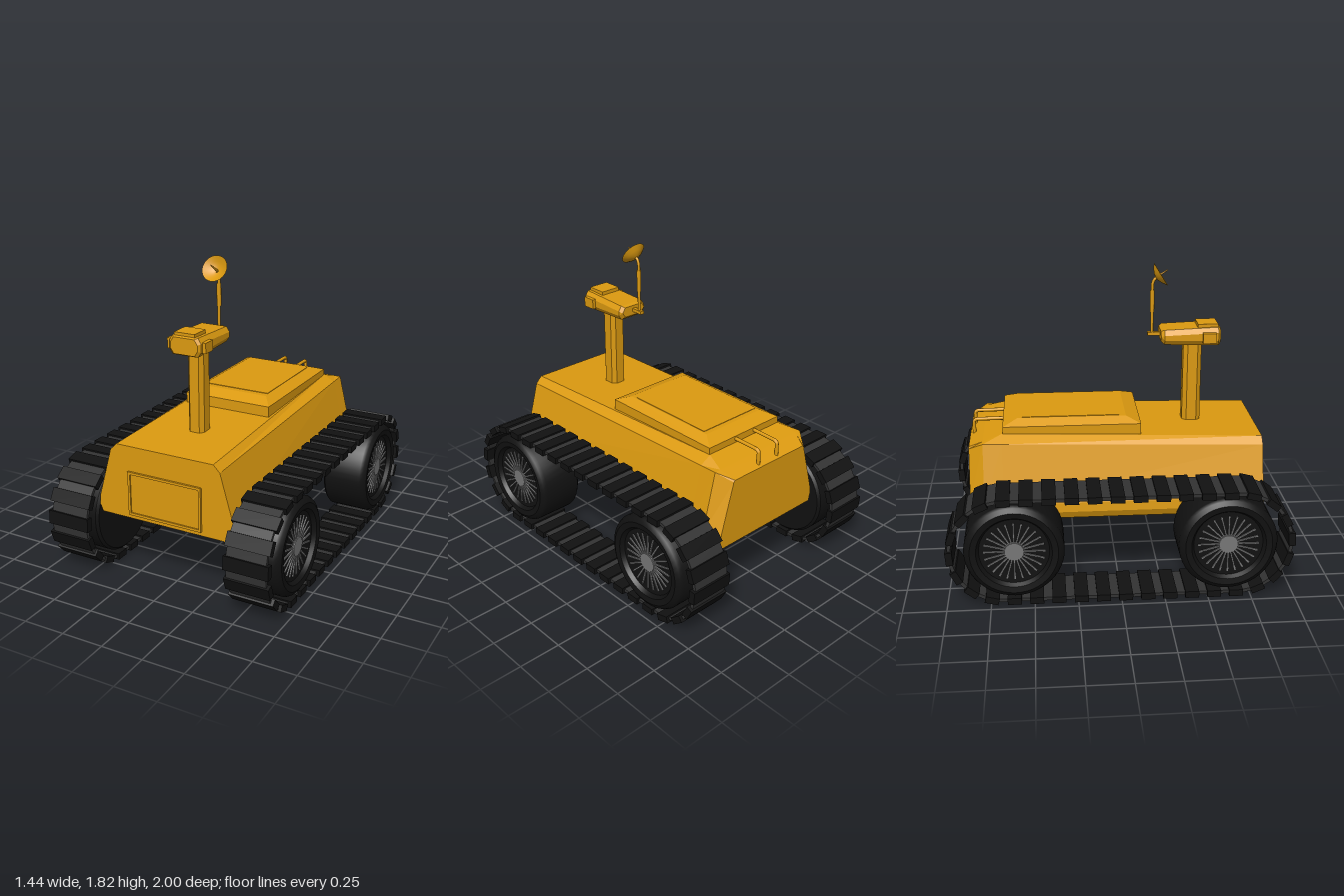
import * as THREE from 'three';
import { mergeGeometries, toCreasedNormals } from 'three/addons/utils/BufferGeometryUtils.js';

const paint = new THREE.MeshStandardMaterial({ color: 0xdc9a10, side: THREE.DoubleSide });
const rubber = new THREE.MeshStandardMaterial({ color: 0x111111 });
const link = new THREE.MeshStandardMaterial({ color: 0x333333 });
const steel = new THREE.MeshStandardMaterial({ color: 0x777777 });

function add(parent, name, geometry, material, x = 0, y = 0, z = 0) {
  const mesh = new THREE.Mesh(geometry, material);
  mesh.name = name;
  mesh.position.set(x, y, z);
  parent.add(mesh);
  return mesh;
}

const box = (w, h, d) => new THREE.BoxGeometry(w, h, d);

// Closed faceted solid through sections { z, pts }, front to back, pts counter-clockwise
function loft(sections) {
  const pos = [];
  const n = sections[0].pts.length;
  const put = (s, j) => pos.push(...s.pts[j % n], s.z);
  for (let i = 0; i < sections.length - 1; i++) {
    const a = sections[i], b = sections[i + 1];
    for (let j = 0; j < n; j++) {
      put(a, j); put(b, j); put(b, j + 1);
      put(a, j); put(b, j + 1); put(a, j + 1);
    }
  }
  const first = sections[0], last = sections[sections.length - 1];
  for (let j = 1; j < n - 1; j++) {
    put(first, 0); put(first, j); put(first, j + 1);
    put(last, 0); put(last, j + 1); put(last, j);
  }
  const g = new THREE.BufferGeometry();
  g.setAttribute('position', new THREE.Float32BufferAttribute(pos, 3));
  g.computeVertexNormals();
  return g;
}

// Half profile (bottom to top, x > 0) mirrored to a full outline
const mirror = (half) => [...half, ...half.map(([x, y]) => [-x, y]).reverse()];

// Rectangular picture-frame border
function frame(w, h, border, depth) {
  const rect = (P, a, b) => {
    const p = new P();
    p.moveTo(-a, -b); p.lineTo(a, -b); p.lineTo(a, b); p.lineTo(-a, b); p.closePath();
    return p;
  };
  const s = rect(THREE.Shape, w / 2, h / 2);
  s.holes.push(rect(THREE.Path, w / 2 - border, h / 2 - border));
  return new THREE.ExtrudeGeometry(s, { depth, bevelEnabled: false });
}

function tube(points, radius) {
  const path = new THREE.CurvePath();
  const v = points.map((p) => new THREE.Vector3(...p));
  for (let i = 0; i < v.length - 1; i++) path.add(new THREE.LineCurve3(v[i], v[i + 1]));
  return new THREE.TubeGeometry(path, 40, radius, 10, false);
}

function buildHull(root) {
  const hull = [
    [0.86, 0.42, 0.44, 0.35, 0.80, 0.31, 0.84],
    [-0.67, 0.42, 0.44, 0.35, 0.847, 0.28, 0.885],
    [-0.78, 0.42, 0.44, 0.35, 0.85, 0.31, 0.852],
    [-0.865, 0.37, 0.38, 0.29, 0.80, 0.28, 0.81],
  ].map(([z, x0, x1, x2, y2, x3, y3]) => ({
    z, pts: mirror([[x0, 0.40], [x1, 0.445], [x1 - 0.005, 0.50], [x2, y2], [x3, y3]]),
  }));
  add(root, 'hull', loft(hull), paint);
  add(root, 'frontPanelFrame', frame(0.47, 0.265, 0.015, 0.015), paint, 0, 0.557, 0.857);
  add(root, 'frontPanel', box(0.44, 0.235, 0.01), paint, 0, 0.557, 0.859);

  // Deck hatch: stacked rectangles, turned upright
  const hatch = [[0.957, 0.22, -0.58, 0.06], [0.925, 0.28, -0.665, 0.145], [0.85, 0.28, -0.665, 0.145]]
    .map(([z, x, back, front]) => ({ z, pts: [[-x, -front], [x, -front], [x, -back], [-x, -back]] }));
  add(root, 'deckHatch', loft(hatch).rotateX(-Math.PI / 2), paint);
  add(root, 'hatchPanel', box(0.42, 0.006, 0.57), paint, 0, 0.957, -0.265);

  // Rear grab handles
  for (const x of [-0.08, 0.07]) {
    const pts = [[x, 0.908, -0.64], [x, 0.906, -0.825], [x, 0.895, -0.84], [x, 0.80, -0.84]];
    add(root, 'grabHandle', tube(pts, 0.011), paint);
  }
}

function buildMast(root) {
  const mast = new THREE.Group();
  mast.name = 'sensorMast';
  root.add(mast);
  // Octagonal post
  const oct = [[0.03, -0.055], [0.05, -0.03], [0.05, 0.03], [0.03, 0.055]];
  const post = loft([{ z: 1.35, pts: mirror(oct) }, { z: 0.80, pts: mirror(oct) }]);
  add(mast, 'mastPost', post.rotateX(-Math.PI / 2), paint, 0.003, 0, 0.475);

  // Sensor head
  const head = [[0.635, 1.34, 1.435, 0.085], [0.62, 1.332, 1.442, 0.1], [0.30, 1.342, 1.43, 0.1], [0.28, 1.36, 1.42, 0.085]]
    .map(([z, y0, y1, w]) => ({
      z, pts: mirror([[w - 0.02, y0], [w, y0 + 0.03], [w, y1 - 0.03], [w - 0.02, y1]]),
    }));
  add(mast, 'sensorHead', loft(head), paint, 0.005);
  add(mast, 'headCap', box(0.13, 0.025, 0.12), paint, 0, 1.447, 0.56);
  for (const s of [-1, 1]) {
    add(mast, 'headSidePod', box(0.03, 0.06, 0.08), paint, 0.003 + s * 0.107, 1.385, 0.565);
  }

  // Antenna arm and dish
  add(mast, 'antennaBracket', box(0.025, 0.02, 0.09), paint, 0, 1.392, 0.25);
  add(mast, 'antennaArm', tube([[0, 1.39, 0.232], [0, 1.69, 0.232], [0, 1.715, 0.24], [0, 1.73, 0.255]], 0.009), paint);
  add(mast, 'antennaSleeve', new THREE.CylinderGeometry(0.013, 0.013, 0.13, 12), paint, 0, 1.59, 0.232);
  const dish = new THREE.Group();
  dish.name = 'dishAntenna';
  dish.position.set(0, 1.73, 0.25);
  dish.rotation.x = THREE.MathUtils.degToRad(58);
  mast.add(dish);
  const bowl = [[0.001, 0], [0.025, 0.005], [0.05, 0.017], [0.078, 0.037]].map((p) => new THREE.Vector2(...p));
  add(dish, 'dishBowl', new THREE.LatheGeometry(bowl, 32), paint);
  add(dish, 'dishFeed', new THREE.CylinderGeometry(0.004, 0.007, 0.085, 10), paint, 0, 0.042, 0);
}

// Wheel with its axis on +y, outer face up
function buildWheel() {
  const wheel = new THREE.Group();
  wheel.name = 'wheel';
  const profile = [[0.001, 0.44], [0.27, 0.44], [0.285, 0.455], [0.285, 0.685], [0.275, 0.705],
    [0.25, 0.72], [0.215, 0.715], [0.2, 0.69], [0.001, 0.685]].map((p) => new THREE.Vector2(...p));
  add(wheel, 'tire', toCreasedNormals(new THREE.LatheGeometry(profile, 48), 0.6), rubber);
  const spokes = [];
  for (let i = 0; i < 24; i++) {
    spokes.push(box(0.13, 0.014, 0.009).translate(0.11, 0.689, 0).rotateY((i / 24) * Math.PI * 2));
  }
  add(wheel, 'spokes', mergeGeometries(spokes), steel);
  add(wheel, 'hub', new THREE.CylinderGeometry(0.055, 0.06, 0.02, 24), steel, 0, 0.69, 0);
  return wheel;
}

// Box placed at distance s along the stadium-shaped track path
const HALF = 0.667, R = 0.31, ARC = Math.PI * R, LOOP = 4 * HALF + 2 * ARC;
function onTrack(geometry, s) {
  s = ((s % LOOP) + LOOP) % LOOP;
  const back = s >= LOOP / 2;
  const t = back ? s - LOOP / 2 : s;
  const straight = Math.min(t, 2 * HALF) - HALF;
  const angle = Math.max(0, t - 2 * HALF) / R;
  return geometry.translate(0, R, 0).rotateX(angle).translate(0, 0, straight)
    .rotateX(back ? Math.PI : 0).translate(0, 0.33, 0);
}

function buildTrack(side) {
  const track = new THREE.Group();
  track.name = side > 0 ? 'leftTrack' : 'rightTrack';
  const count = 36, pitch = LOOP / count, start = HALF + 0.04;
  const pads = [], links = [];
  for (let i = 0; i < count; i++) {
    links.push(onTrack(box(0.24, 0.02, 0.07), start + i * pitch));
    pads.push(onTrack(box(0.27, 0.04, 0.08), start + (i + 0.5) * pitch));
  }
  add(track, 'treadPads', mergeGeometries(pads), rubber, side * 0.573);
  add(track, 'trackLinks', mergeGeometries(links), link, side * 0.57);
  return track;
}

export function createModel() {
  const root = new THREE.Group();
  root.name = 'trackedRover';
  buildHull(root);
  buildMast(root);
  for (const side of [-1, 1]) {
    root.add(buildTrack(side));
    for (const z of [-0.61, 0.61]) {
      const wheel = buildWheel();
      wheel.rotation.z = -side * Math.PI / 2;
      wheel.position.set(0, 0.335, z);
      root.add(wheel);
    }
  }
  return root;
}
